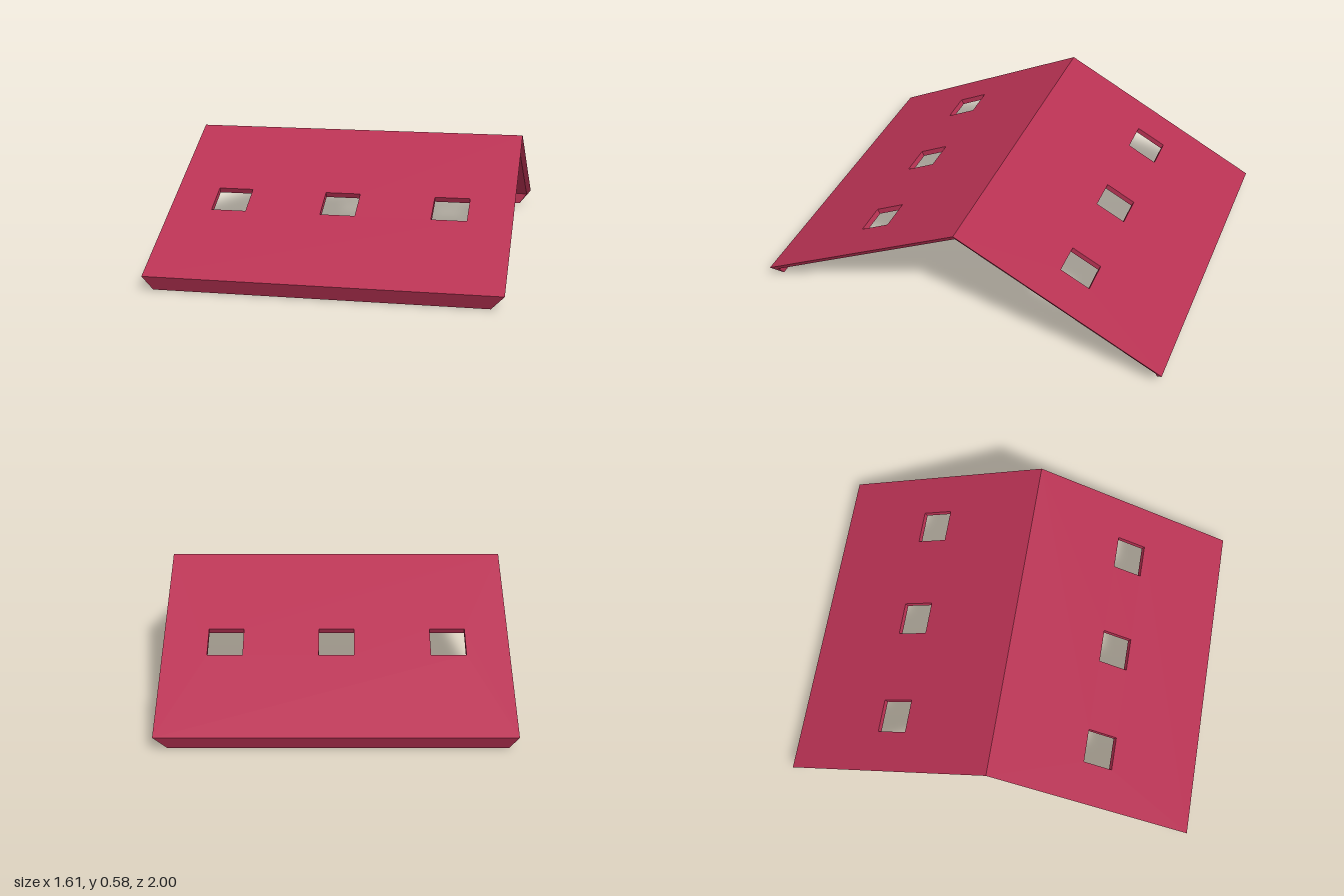
import * as THREE from 'three';

const RIDGE = 0.577, EAVE = 0.07, HALF = 0.805;
const SLOPE = Math.hypot(1, RIDGE - EAVE);   // length from ridge to eave
const PITCH = Math.atan2(RIDGE - EAVE, 1);
const THICK = 0.027, LIP = 0.078;

// Narrow the ends with depth, and mitre the underside at the ridge
function taperEnds(geometry, side) {
  const p = geometry.attributes.position;
  for (let i = 0; i < p.count; i++) {
    const x = p.getX(i), y = p.getY(i), depth = -p.getZ(i);
    if (Math.abs(x) > 0.75) {
      const inset = x * side > 0 ? 0.77 : 0.51;
      p.setX(i, x - Math.sign(x) * depth * inset);
    }
    if (y > -1e-5) p.setY(i, y - depth * Math.tan(PITCH));
  }
  geometry.computeVertexNormals();
  return geometry;
}

// Flat slab with three square window openings
function slabGeometry(side) {
  const shape = new THREE.Shape([
    [-HALF, -SLOPE], [HALF, -SLOPE], [HALF, 0], [-HALF, 0],
  ].map(([x, y]) => new THREE.Vector2(x, y)));
  const top = -0.44 * SLOPE, bottom = -0.58 * SLOPE;
  for (const centre of [-0.522, -0.002, 0.515]) {
    const l = centre * side - 0.082, r = centre * side + 0.082;
    shape.holes.push(new THREE.Path([
      [l, bottom], [l, top], [r, top], [r, bottom],
    ].map(([x, y]) => new THREE.Vector2(x, y))));
  }
  const g = new THREE.ExtrudeGeometry(shape, { depth: THICK, bevelEnabled: false });
  return taperEnds(g.translate(0, 0, -THICK), side);
}

// Wedge that hangs below the eave
function lipGeometry(side) {
  const shape = new THREE.Shape([
    [-SLOPE, -THICK * 0.5], [-SLOPE, -LIP], [-SLOPE + 0.024, -THICK],
    [-SLOPE + 0.024, -THICK * 0.5],
  ].map(([y, z]) => new THREE.Vector2(y, z)));
  const g = new THREE.ExtrudeGeometry(shape, { depth: 2 * HALF, bevelEnabled: false });
  g.applyMatrix4(new THREE.Matrix4().makeBasis(
    new THREE.Vector3(0, 1, 0), new THREE.Vector3(0, 0, 1), new THREE.Vector3(1, 0, 0)));
  return taperEnds(g.translate(-HALF, 0, 0), side);
}

export function createModel() {
  const roof = new THREE.Group();
  roof.name = 'gableRoof';
  const red = new THREE.MeshStandardMaterial({ color: 0xb83253 });
  red.name = 'crimson';

  for (const side of [1, -1]) {
    const label = side > 0 ? 'front' : 'back';
    const slope = new THREE.Group();
    slope.name = label + 'Slope';
    const slab = new THREE.Mesh(slabGeometry(side), red);
    slab.name = label + 'RoofSlab';
    const lip = new THREE.Mesh(lipGeometry(side), red);
    lip.name = label + 'EaveLip';
    slope.add(slab, lip);
    slope.position.y = RIDGE;
    slope.rotation.x = PITCH - Math.PI / 2;

    const half = new THREE.Group();
    half.name = label + 'Half';
    half.add(slope);
    if (side < 0) half.rotation.y = Math.PI;
    roof.add(half);
  }
  return roof;
}
